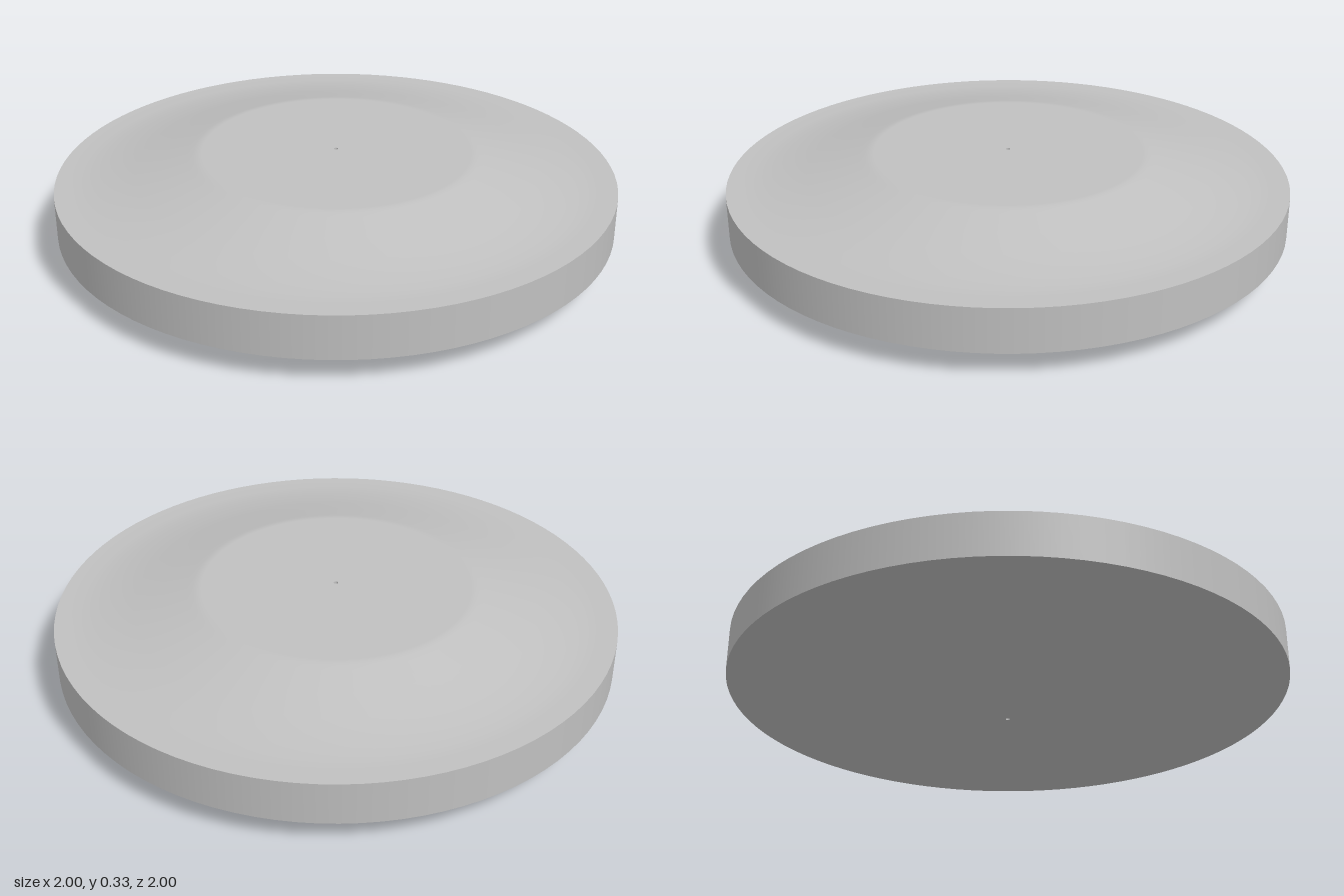
import * as THREE from 'three';

const SEGMENTS = 96;
const MID = 0.1665;     // height of the symmetry plane
const RIM = 0.077;      // half thickness of the rim
const HUB = 0.1665;     // half thickness of the raised centre
const BORE = 0.008;     // radius of the tiny centre hole

// Radius and half thickness, from the bore out to the rim
const faceProfile = [
  [BORE, HUB], [0.48, HUB], [0.495, HUB - 0.001], [0.51, HUB - 0.004], [0.53, HUB - 0.009],
  [0.62, 0.1345], [0.72, 0.109], [0.78, 0.096], [0.84, 0.0855],
  [0.89, 0.079], [0.93, RIM], [1, RIM],
];

export function createModel() {
  const group = new THREE.Group();
  const grey = new THREE.MeshStandardMaterial({ color: 0xc0c0c0 });
  grey.name = 'light grey';

  const addLathe = (name, points) => {
    const profile = points.map(([r, y]) => new THREE.Vector2(r, MID + y));
    const mesh = new THREE.Mesh(new THREE.LatheGeometry(profile, SEGMENTS), grey);
    mesh.name = name;
    group.add(mesh);
  };

  // Separate sections keep the rim edges crisp
  addLathe('bottomFace', faceProfile.map(([r, h]) => [r, -h]));
  addLathe('rim', [[1, -RIM], [1, RIM]]);
  addLathe('topFace', [...faceProfile].reverse());
  addLathe('centreBore', [[BORE, HUB], [BORE, -HUB]]);

  return group;
}
